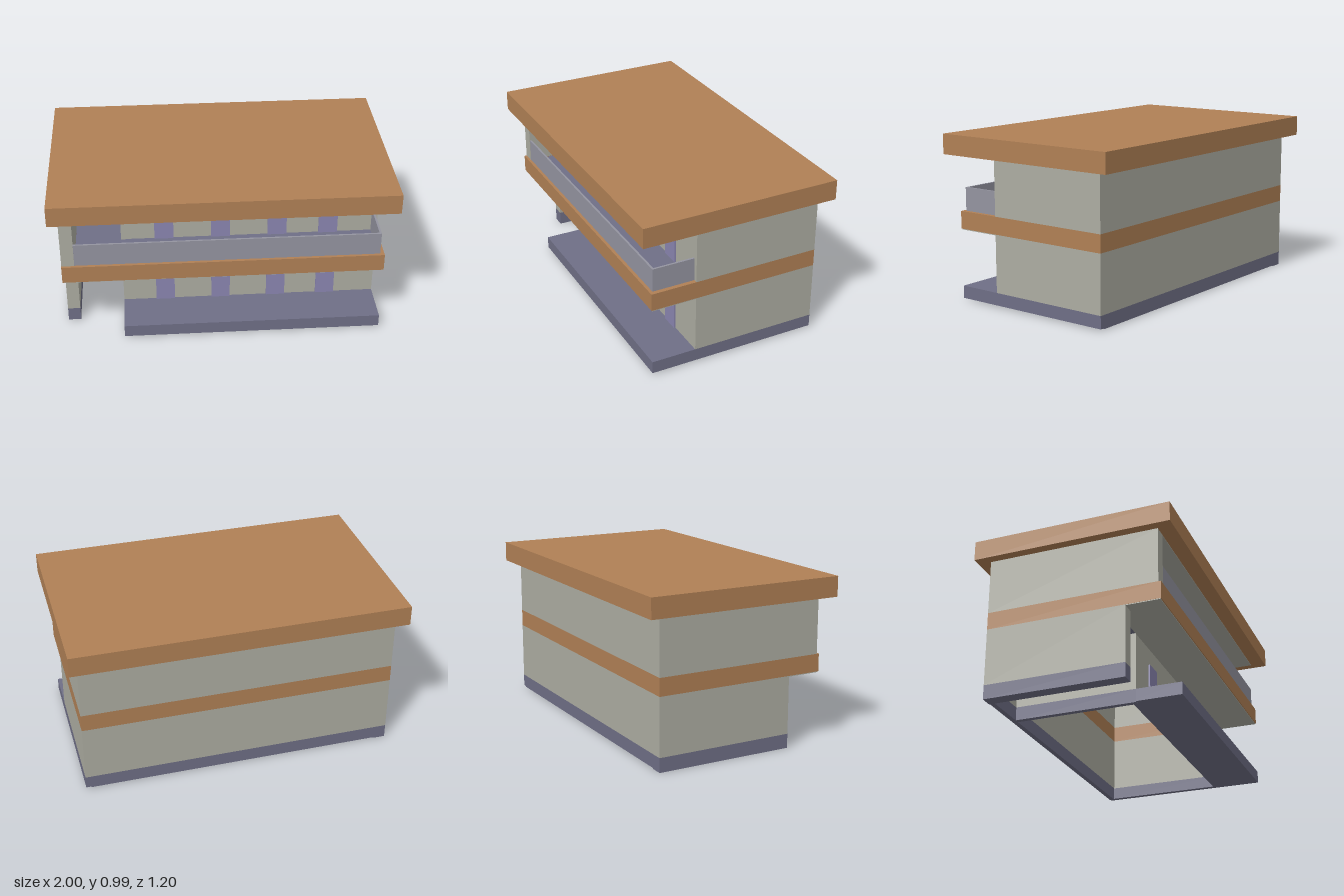
import * as THREE from 'three';

const mat = (name, color) => {
  const m = new THREE.MeshStandardMaterial({ color });
  m.name = name;
  return m;
};

export function createModel() {
  const house = new THREE.Group();
  house.name = 'house';

  const timber = mat('timber', 0xb08055);
  const plaster = mat('plaster', 0xadada2);
  const stone = mat('stone', 0x6f6f86);
  const doorPaint = mat('doorPaint', 0x8a85b0);
  const railPaint = mat('railPaint', 0x9494a0);

  // Box given by its extents on each axis
  const box = (name, material, [x0, x1], [y0, y1], [z0, z1], parent = house) => {
    const geo = new THREE.BoxGeometry(x1 - x0, y1 - y0, z1 - z0);
    const mesh = new THREE.Mesh(geo, material);
    mesh.position.set((x0 + x1) / 2, (y0 + y1) / 2, (z0 + z1) / 2);
    mesh.name = name;
    parent.add(mesh);
    return mesh;
  };

  const GROUND = 0.085, BAND0 = 0.43, BAND1 = 0.535, EAVE = 0.87;

  // Roof slab and plaster soffits
  box('roof', timber, [-1, 1], [EAVE, 0.99], [-0.6, 0.6]);
  box('roofSoffit', plaster, [-0.944, 0.944], [0.866, EAVE], [-0.519, 0.51]);
  box('balconySoffit', plaster, [-0.944, 0.944], [0.425, BAND0], [0.25, 0.52]);

  // Outer walls: stone foot, plaster, timber band, plaster
  const wall = (name, x, z, y0, lowerFront, bandFront, upperFront) => {
    const g = new THREE.Group();
    g.name = name;
    house.add(g);
    box('foot', stone, x, [y0, GROUND], [z[0], lowerFront], g);
    box('lowerWall', plaster, x, [GROUND, BAND0], [z[0], lowerFront], g);
    box('band', timber, x, [BAND0, BAND1], [z[0], bandFront], g);
    box('upperWall', plaster, x, [BAND1, EAVE], [z[0], upperFront], g);
  };
  wall('rightHandWall', [-0.945, -0.87], [-0.52], 0, 0.32, 0.525, 0.51);
  wall('leftHandWall', [0.915, 0.945], [-0.52], 0.01, 0.25, 0.525, 0.25);
  wall('backWall', [-0.87, 0.915], [-0.52], 0.005, -0.49, -0.49, -0.49);
  box('frontBand', timber, [-0.87, 0.915], [BAND0, BAND1], [0.5, 0.525]);

  // Partition beside the open passage
  box('partitionFoot', stone, [-0.6, -0.57], [0.005, GROUND], [-0.49, 0.25]);
  box('partition', plaster, [-0.6, -0.57], [GROUND, EAVE], [-0.49, 0.25]);

  // Floors: terrace, balcony floor and floor over the passage
  box('terrace', stone, [-0.6, 0.945], [0.01, GROUND], [0.22, 0.52]);
  box('balconyFloor', stone, [-0.87, 0.915], [BAND0 + 0.002, BAND1 - 0.002], [0, 0.5]);
  box('passageCeiling', stone, [-0.87, -0.6], [BAND0 + 0.002, BAND1 - 0.002], [-0.49, 0]);

  // Front wall and doors on both storeys
  const storeys = [
    { name: 'lower', y0: GROUND, y1: BAND0, doorTop: 0.32 },
    { name: 'upper', y0: BAND1, y1: EAVE, doorTop: 0.77 },
  ];
  for (const s of storeys) {
    box(s.name + 'FrontWall', plaster, [-0.57, 0.915], [s.y0, s.y1], [0.22, 0.25]);
    for (const x of [-0.343, -0.003, 0.337, 0.645]) {
      box(s.name + 'Door', doorPaint, [x - 0.057, x + 0.057], [s.y0, s.doorTop], [0.216, 0.26]);
    }
  }

  // Balcony railing panels
  box('railingFront', railPaint, [-0.87, 0.92], [BAND1, 0.675], [0.495, 0.507]);
  box('railingSide', railPaint, [0.908, 0.92], [BAND1, 0.675], [0.25, 0.495]);

  return house;
}
